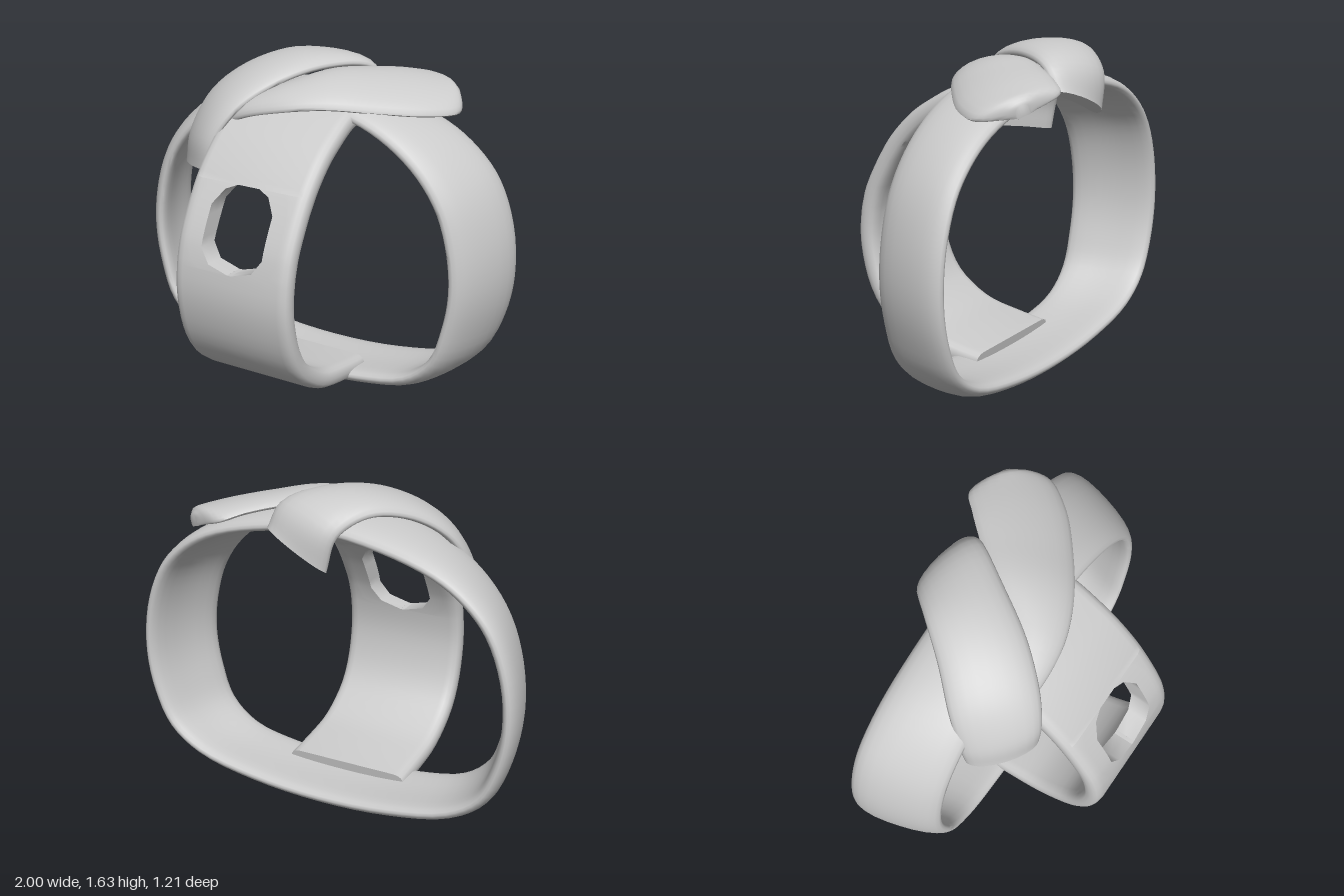
import * as THREE from 'three';
import { mergeGeometries, toCreasedNormals } from 'three/addons/utils/BufferGeometryUtils.js';

const V = (x, y, z) => new THREE.Vector3(x, y, z);
const lerp = THREE.MathUtils.lerp;
const material = new THREE.MeshStandardMaterial({ color: 0xcccccc });

// Skin a list of closed cross-section loops; either join the ends or cap them.
function skin(loops, closed) {
  const n = loops.length, m = loops[0].length, index = [];
  const at = (i, j) => (i % n) * m + ((j + m) % m);
  for (let i = 0; i < (closed ? n : n - 1); i++) {
    for (let j = 0; j < m; j++) {
      const a = at(i, j), b = at(i + 1, j), c = at(i + 1, j + 1), d = at(i, j + 1);
      index.push(a, b, c, a, c, d);
    }
  }
  if (!closed) {
    for (let j = 0; j < m / 2; j++) {
      for (const [row, flip] of [[0, false], [n - 1, true]]) {
        const a = at(row, j), b = at(row, j + 1), c = at(row, m - j - 1), d = at(row, m - j);
        if (flip) index.push(a, c, b, a, d, c);
        else index.push(a, b, c, a, c, d);
      }
    }
  }
  const geo = new THREE.BufferGeometry();
  geo.setAttribute('position', new THREE.Float32BufferAttribute(loops.flat().flatMap(p => p.toArray()), 3));
  geo.setIndex(index);
  return geo;
}

// Lens-like band section: u runs from rail to rail, h is the side of the band.
const rim = [[0.012, 0.32], [0.05, 0.62], [0.12, 0.84], [0.22, 0.96], [0.36, 1]];
const upper = [...rim, [0.5, 1], ...rim.map(([u, h]) => [1 - u, h]).reverse()];
const section = [[0, 0], ...upper, [1, 0], ...upper.map(([u, h]) => [u, -h]).reverse()];

// Sweep the section between two rails; crown bulges the middle outward.
function band(railA, railB, { half, crown, steps, closed = false }) {
  const a = new THREE.CatmullRomCurve3(railA, closed);
  const b = new THREE.CatmullRomCurve3(railB, closed);
  const loops = [];
  for (let i = 0; i < (closed ? steps : steps + 1); i++) {
    const t = i / steps, p = a.getPoint(t), q = b.getPoint(t);
    const width = q.clone().sub(p);
    const normal = a.getTangent(t).add(b.getTangent(t)).cross(width).normalize();
    const bulge = crown * Math.min(1, width.length() / 0.3);
    loops.push(section.map(([u, h]) =>
      p.clone().lerp(q, u).addScaledVector(normal, h * half + bulge * 4 * u * (1 - u))));
  }
  return skin(loops, closed);
}

// Mirror a half outline in x into a closed rail at depth z.
const mirrored = (half, z) => [
  ...half.map(([x, y]) => V(x, y, z)),
  ...half.slice(1, -1).reverse().map(([x, y]) => V(-x, y, z)),
];

function mainRing() {
  const front = [[0, 0.065], [0.35, 0.082], [0.61, 0.14], [0.75, 0.26], [0.815, 0.44], [0.845, 0.63],
    [0.83, 0.82], [0.77, 1.02], [0.66, 1.18], [0.5, 1.31], [0.3, 1.4], [0, 1.44]];
  const back = [[0, 0.055], [0.38, 0.08], [0.69, 0.15], [0.85, 0.26], [0.935, 0.43], [0.975, 0.64],
    [0.955, 0.88], [0.875, 1.09], [0.76, 1.22], [0.6, 1.32], [0.33, 1.4], [0, 1.44]];
  return band(mirrored(back, -0.4), mirrored(front, 0.03), { half: 0.04, crown: 0.02, steps: 88, closed: true });
}

// Curved front strap with a window cut straight through along z.
function frontStrap() {
  const path = new THREE.CatmullRomCurve3([[-0.15, 1.41], [-0.07, 1.4], [0.02, 1.38], [0.14, 1.315], [0.24, 1.245],
    [0.36, 1.12], [0.45, 0.98], [0.52, 0.83], [0.55, 0.65], [0.54, 0.52], [0.5, 0.38], [0.44, 0.28],
    [0.36, 0.21], [0.23, 0.14], [0.03, 0.1], [-0.12, 0.08]].map(([z, y]) => V(0, y, z)));
  const half = 0.05, left = -0.33, right = 0.31, top = 1.125, bottom = 0.74;
  const offset = (t, h) => {
    const p = path.getPointAt(t), d = path.getTangentAt(t);
    return V(0, p.y + d.z * h * half, p.z - d.y * h * half);
  };
  // path position where the outer (h = 1) or inner (h = -1) face reaches height y
  const find = (y, h) => {
    let lo = 0, hi = 0.75;
    for (let k = 0; k < 24; k++) {
      const mid = (lo + hi) / 2;
      if (offset(mid, h).y > y) lo = mid; else hi = mid;
    }
    return lo;
  };
  // one row across the strap; outer edges are rounded, window edges square
  const row = (tOut, tIn, x0, x1) => {
    const curl = [[0.003, 0.45], [0.012, 0.72], [0.03, 0.92], [0.055, 1]];
    const face = [
      ...(x0 === left ? curl.map(([w, h]) => [x0 + w, h]) : [[x0, 1]]),
      [(x0 + x1) / 2, 1],
      ...(x1 === right ? curl.map(([w, h]) => [x1 - w, h]).reverse() : [[x1, 1]]),
    ];
    const loop = [[x0, 0], ...face, [x1, 0], ...face.map(([x, h]) => [x, -h]).reverse()];
    return loop.map(([x, h]) => offset(lerp(tIn, tOut, (h + 1) / 2), h).setX(x));
  };
  const outT = [find(top, 1), find(bottom, 1)], inT = [find(top, -1), find(bottom, -1)];
  const above = [], below = [], leftSide = [], rightSide = [];
  for (let k = 0; k <= 20; k++) {
    const f = k / 20;
    above.push(row(outT[0] * f, inT[0] * f, left, right));
    below.push(row(lerp(outT[1], 1, f), lerp(inT[1], 1, f), left, right));
  }
  // window: [height, left edge, right edge] from top to bottom
  const window = [[top, -0.07, 0.05], [1.1, -0.13, 0.11], [1.03, -0.18, 0.16], [0.98, -0.18, 0.16], [0.93, -0.18, 0.16],
    [0.88, -0.18, 0.16], [0.84, -0.18, 0.16], [0.77, -0.13, 0.11], [bottom, -0.02, 0]];
  for (const [y, x0, x1] of window) {
    leftSide.push(row(find(y, 1), find(y, -1), left, x0));
    rightSide.push(row(find(y, 1), find(y, -1), x1, right));
  }
  return mergeGeometries([above, below, leftSide, rightSide].map(rows => skin(rows, false)));
}

// Upper wrap: hangs down at the front right, crosses over, curls down behind.
function upperWrap() {
  const inner = [V(-0.345, 1.1, 0.26), V(-0.32, 1.25, 0.26), V(-0.235, 1.4, 0.19), V(-0.1, 1.52, 0.03),
    V(0.045, 1.575, -0.2), V(0.17, 1.55, -0.4), V(0.2, 1.45, -0.475)];
  const outer = [V(-0.615, 1.06, 0.03), V(-0.61, 1.2, 0.0), V(-0.55, 1.39, -0.09), V(-0.42, 1.515, -0.23),
    V(-0.28, 1.55, -0.4), V(-0.18, 1.47, -0.515), V(-0.13, 1.3, -0.525)];
  return band(inner, outer, { half: 0.035, crown: 0.03, steps: 36 });
}

// Lower wrap: a leaf tapering to a point under the upper wrap.
function lowerWrap() {
  const front = [V(-0.42, 1.15, 0.13), V(-0.37, 1.28, 0.14), V(-0.23, 1.365, 0.18), V(0, 1.425, 0.165),
    V(0.2, 1.445, 0.085), V(0.4, 1.425, -0.05), V(0.59, 1.4, -0.22), V(0.67, 1.395, -0.37), V(0.59, 1.42, -0.52)];
  const back = [V(-0.42, 1.16, 0.1), V(-0.38, 1.31, 0.06), V(-0.27, 1.4, 0), V(-0.11, 1.475, -0.11),
    V(0.05, 1.54, -0.27), V(0.18, 1.535, -0.42), V(0.28, 1.52, -0.53), V(0.37, 1.49, -0.61), V(0.53, 1.445, -0.56)];
  return band(front, back, { half: 0.028, crown: 0.04, steps: 40 });
}

export function createModel() {
  const group = new THREE.Group();
  group.name = 'wrappedBands';
  const parts = { mainRing, frontStrap, upperWrap, lowerWrap };
  for (const [name, build] of Object.entries(parts)) {
    const mesh = new THREE.Mesh(toCreasedNormals(build(), 0.95), material);
    mesh.name = name;
    group.add(mesh);
  }
  return group;
}
